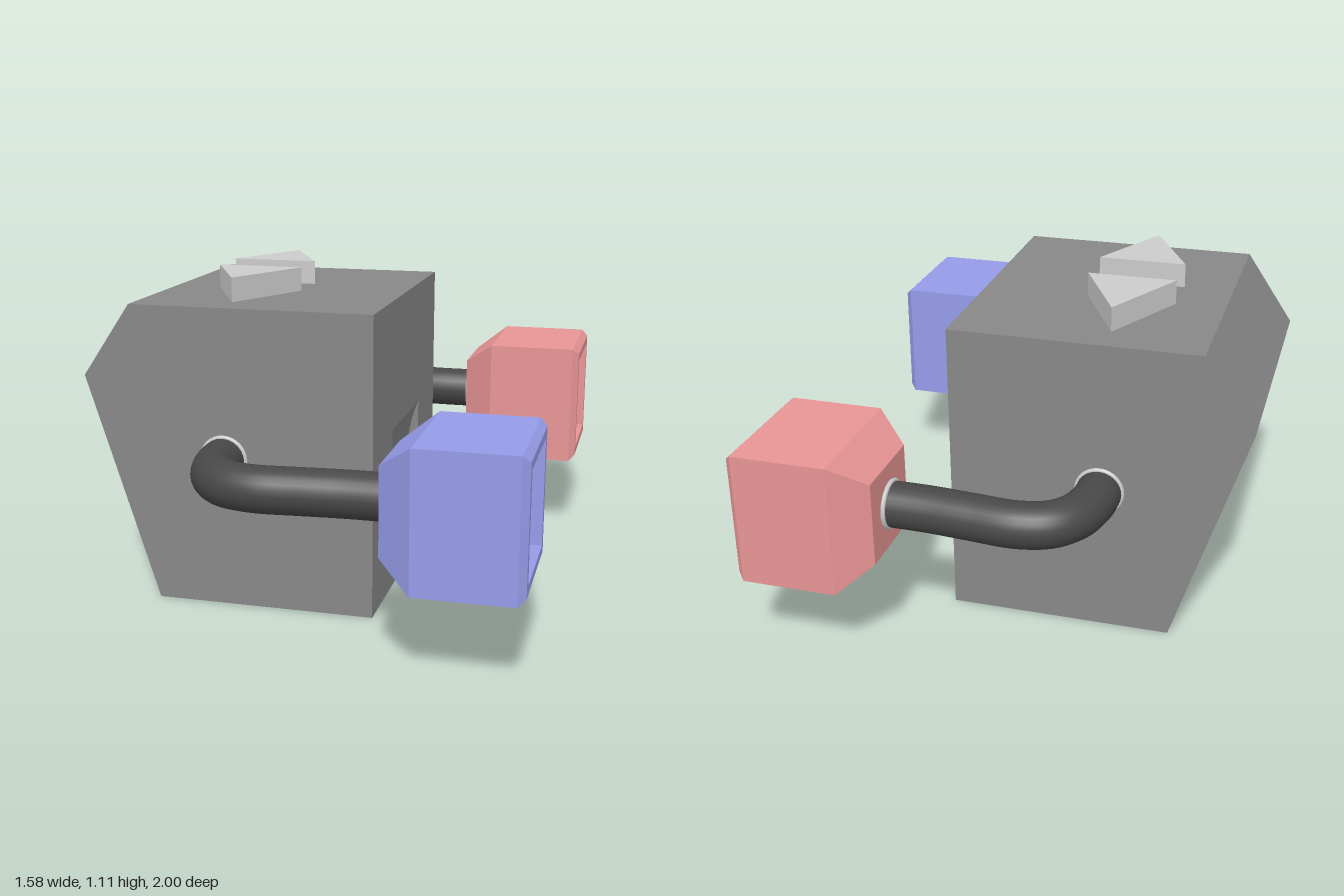
import * as THREE from 'three';

const mat = (color, flatShading = true) => new THREE.MeshStandardMaterial({ color, flatShading });
const shapeOf = (pts) => new THREE.Shape(pts.map(([x, y]) => new THREE.Vector2(x, y)));
const extrude = (shape, depth) =>
  new THREE.ExtrudeGeometry(shape, { depth, bevelEnabled: false, curveSegments: 12 });

const HALF = 0.51;     // half width of the body along z
const SCOOP = 0.22;    // half width of the scoop in the +x face
const MID_Y = 0.515;   // height of the arms
const PLUG_Z = 0.773;

// Slanted face: outer edge points, and the same points one panel thickness inside
const OUT = [[-0.79, 0.78], [-0.54, 0]];
const IN = [[-0.772, 0.806], [-0.514, 0]];

export function createModel() {
  const model = new THREE.Group();
  const add = (name, geometry, material, parent = model) => {
    const mesh = new THREE.Mesh(geometry, material);
    mesh.name = name;
    parent.add(mesh);
    return mesh;
  };
  const bodyMat = mat(0x888888);
  const greyMat = mat(0xcccccc);
  const collarMat = mat(0xcccccc, false);
  const hoseMat = mat(0x484848, false);

  // Body: three slabs side by side, the middle one with a shallow curved scoop
  const body = new THREE.Group();
  body.name = 'body';
  model.add(body);
  const slab = (name, z0, z1, scooped) => {
    const pts = [IN[1], [0.22, 0]];
    if (scooped) {
      const r = 0.52, half = 0.2, cx = 0.22 + Math.sqrt(r * r - half * half);
      for (let i = 0; i <= 12; i++) {
        const y = -half + (2 * half * i) / 12;
        pts.push([cx - Math.sqrt(r * r - y * y), 0.38 + y]);
      }
    }
    pts.push([0.22, 1.03], [-0.62, 1.03], IN[0]);
    add(name, extrude(shapeOf(pts), z1 - z0).translate(0, 0, z0), bodyMat, body);
  };
  slab('bodyBackSide', -HALF, -SCOOP, false);
  slab('bodyMiddle', -SCOOP, SCOOP, true);
  slab('bodyFrontSide', SCOOP, HALF, false);

  // Slanted panel with two grooves open at its top and a diamond recess.
  // Drawn as (z, fraction down the slope), then laid between the OUT and IN edges.
  const g0 = 0.387, g1 = 0.411, gEnd = 0.92;
  const panel = shapeOf([
    [-HALF, 0], [-g1, 0], [-g1, gEnd], [-g0, gEnd], [-g0, 0],
    [g0, 0], [g0, gEnd], [g1, gEnd], [g1, 0], [HALF, 0], [HALF, 1], [-HALF, 1],
  ]);
  const c = 0.43, dz = 0.26, dv = 0.315;
  panel.holes.push(shapeOf([[0, c - dv], [-dz, c], [0, c + dv], [dz, c]]));
  const panelGeo = extrude(panel, 1);
  const pos = panelGeo.attributes.position;
  for (let i = 0; i < pos.count; i++) {
    const z = pos.getX(i), v = pos.getY(i), edge = pos.getZ(i) < 0.5 ? OUT : IN;
    pos.setXYZ(i,
      THREE.MathUtils.lerp(edge[0][0], edge[1][0], v),
      THREE.MathUtils.lerp(edge[0][1], edge[1][1], v), z);
  }
  panelGeo.computeVertexNormals();
  add('slantedPanel', panelGeo, bodyMat, body);

  // Parts that repeat on both sides
  for (const s of [1, -1]) {
    const side = s > 0 ? 'front' : 'back';

    // Raised arrow on the roof
    const arrow = shapeOf([[-0.45, -s * 0.085], [-0.145, -s * 0.085], [-0.297, -s * 0.39]]);
    add(side + 'Arrow', extrude(arrow, 0.085).rotateX(-Math.PI / 2).translate(0, 1.028, 0), greyMat);

    const arm = new THREE.Group();
    arm.name = side + 'Arm';
    model.add(arm);

    // Bent hose from the body to the plug
    const path = new THREE.CatmullRomCurve3([
      [-0.295, 0.49], [-0.293, 0.58], [-0.262, 0.69], [-0.2, 0.76],
      [-0.1, 0.79], [0.05, 0.782], [0.2, 0.771], [0.345, 0.77],
    ].map(([x, z]) => new THREE.Vector3(x, MID_Y, s * z)));
    add('hose', new THREE.TubeGeometry(path, 48, 0.076, 24), hoseMat, arm);

    // Thin collars at both hose ends
    const collar = () => new THREE.TorusGeometry(0.077, 0.008, 8, 32);
    add('bodyCollar', collar(), collarMat, arm).position.set(-0.295, MID_Y, s * 0.513);
    add('plugCollar', collar().rotateY(Math.PI / 2), collarMat, arm).position.set(0.329, MID_Y, s * 0.77);

    // Square plug: four-sided lathe, tapered behind and hollowed in its end face
    const profile = [
      [0, 0.335], [0.143, 0.335], [0.225, 0.445], [0.225, 0.762],
      [0.204, 0.785], [0.174, 0.785], [0.174, 0.735], [0, 0.735],
    ].map(([half, x]) => new THREE.Vector2(half * Math.SQRT2, x));
    const plug = new THREE.LatheGeometry(profile, 4, Math.PI / 4).rotateZ(-Math.PI / 2);
    add('plug', plug, mat(s > 0 ? 0x959ce8 : 0xe89595), arm).position.set(0, MID_Y, s * PLUG_Z);
  }
  return model;
}
